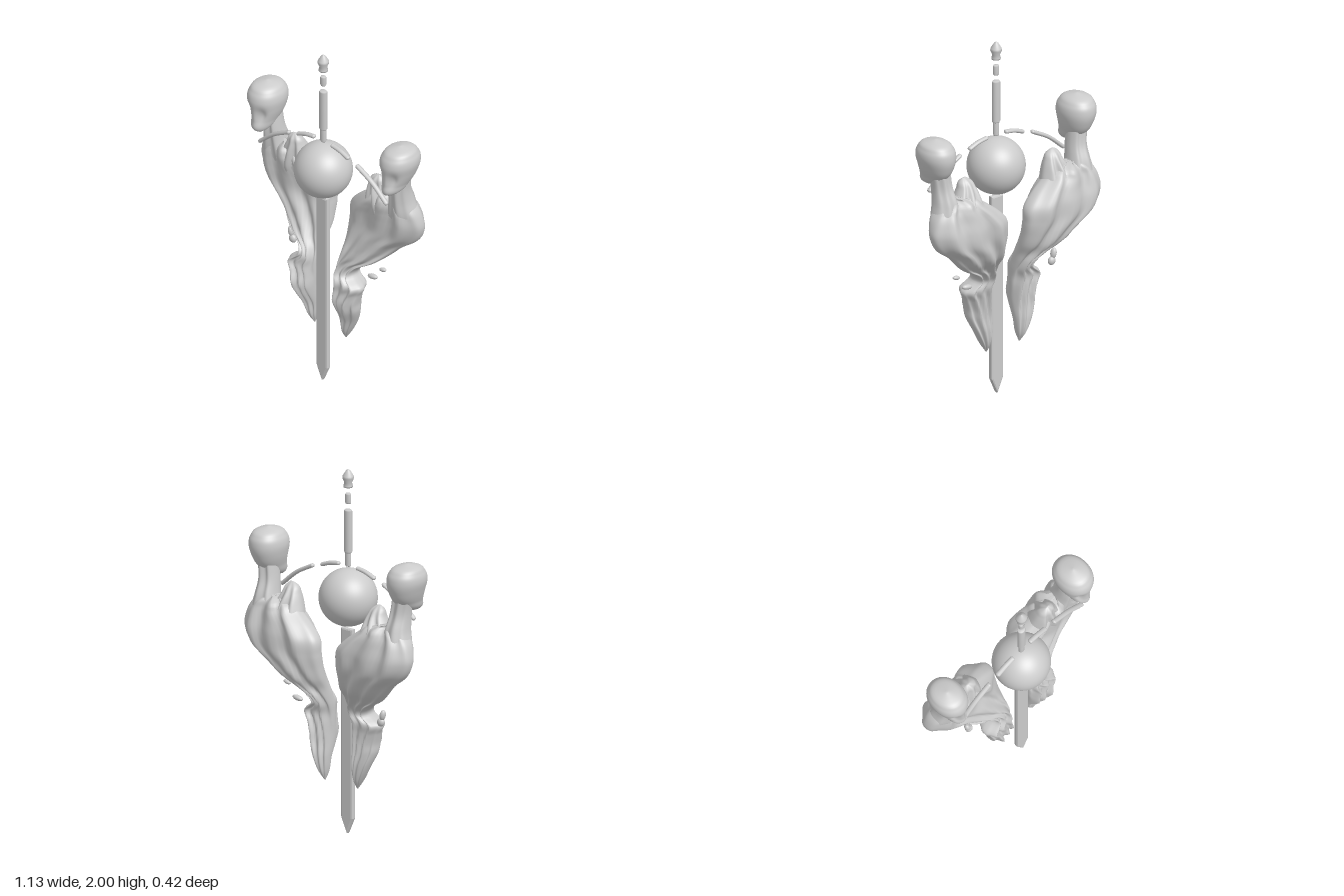
import * as THREE from 'three';

const Z = 0.055; // plane of the blade, orb and arc
const material = new THREE.MeshStandardMaterial({ color: 0xcccccc, side: THREE.DoubleSide });

function mesh(name, geometry, x = 0, y = 0, z = 0) {
  const m = new THREE.Mesh(geometry, material);
  m.name = name;
  m.position.set(x, y, z);
  return m;
}

// Smooth solid through rows of [y, inner x, outer x, front z, back z];
// relief(u, s, y) pushes the surface along z, side mirrors it.
function loft(rows, side, steps, relief = () => 0, power = 0.85) {
  const spline = new THREE.CubicInterpolant(rows.map(r => r[0]), rows.flatMap(r => r.slice(1)), 4);
  const y0 = rows[0][0], y1 = rows[rows.length - 1][0], n = 64;
  const pos = [], index = [];
  const soft = v => Math.sign(v) * Math.abs(v) ** power;
  for (let i = 0; i <= steps; i++) {
    const y = y0 + (y1 - y0) * i / steps;
    const [xi, xo, zf, zb] = spline.evaluate(y);
    for (let j = 0; j < n; j++) {
      const a = j / n * Math.PI * 2, u = Math.cos(a), s = Math.sin(a);
      const x = (xi + xo) / 2 + (xo - xi) / 2 * soft(u);
      const z = (zf + zb) / 2 + (zf - zb) / 2 * soft(s) + relief(u, s, y);
      pos.push(side * x, y, z);
      if (i === steps) continue;
      const p = i * n + j, q = i * n + (j + 1) % n;
      if (side > 0) index.push(p, p + n, q, q, p + n, q + n);
      else index.push(p, q, p + n, q, q + n, p + n);
    }
  }
  // close both ends
  for (const [row, up] of [[0, -1], [steps, 1]]) {
    for (let j = 1; j < n - 1; j++) {
      const b = row * n;
      if (up * side > 0) index.push(b, b + j + 1, b + j);
      else index.push(b, b + j, b + j + 1);
    }
  }
  const g = new THREE.BufferGeometry();
  g.setAttribute('position', new THREE.Float32BufferAttribute(pos, 3));
  g.setIndex(index);
  g.computeVertexNormals();
  return g;
}

const bodyRows = [
  [0.28, 0.108, 0.114, 0.003, -0.003], [0.33, 0.093, 0.145, 0.03, -0.03],
  [0.41, 0.084, 0.185, 0.045, -0.04], [0.49, 0.08, 0.215, 0.08, -0.032],
  [0.54, 0.078, 0.22, 0.095, -0.03], [0.60, 0.075, 0.235, 0.085, -0.03],
  [0.65, 0.073, 0.25, 0.085, -0.035], [0.70, 0.07, 0.185, 0.07, -0.045],
  [0.75, 0.07, 0.21, 0.05, -0.07], [0.80, 0.07, 0.29, 0.035, -0.1],
  [0.86, 0.066, 0.36, 0.015, -0.15], [0.93, 0.066, 0.43, 0, -0.178],
  [1.00, 0.066, 0.52, -0.01, -0.195], [1.08, 0.075, 0.558, -0.005, -0.198],
  [1.14, 0.13, 0.552, 0, -0.185], [1.20, 0.21, 0.525, 0, -0.165],
  [1.24, 0.26, 0.485, -0.02, -0.14], [1.26, 0.33, 0.43, -0.06, -0.1],
];
const neckRows = [
  [1.05, 0.34, 0.50, -0.03, -0.15], [1.15, 0.36, 0.53, -0.01, -0.155],
  [1.25, 0.385, 0.51, 0, -0.135], [1.33, 0.397, 0.505, 0.005, -0.105], [1.44, 0.41, 0.52, 0, -0.095],
];
const shoulderRows = [
  [1.06, 0.16, 0.42, -0.03, -0.16], [1.15, 0.195, 0.41, 0, -0.16],
  [1.22, 0.216, 0.38, 0, -0.135], [1.29, 0.24, 0.343, -0.01, -0.1],
  [1.325, 0.258, 0.33, -0.02, -0.075], [1.342, 0.285, 0.31, -0.04, -0.05],
];
const headRows = [
  [1.33, 0.445, 0.465, 0.06, 0.04], [1.345, 0.425, 0.497, 0.083, -0.02],
  [1.40, 0.402, 0.528, 0.088, -0.1], [1.46, 0.383, 0.552, 0.09, -0.135],
  [1.52, 0.376, 0.566, 0.092, -0.145], [1.56, 0.388, 0.557, 0.076, -0.132],
  [1.59, 0.418, 0.53, 0.04, -0.095], [1.604, 0.465, 0.48, -0.02, -0.035],
];

// Flowing cloth ridges, fading towards the lower tip
const folds = (u, s, y) => s * 0.014 * Math.min(1, (y - 0.28) * 4) *
  (Math.sin(11 * u + 5 * Math.sin(4.5 * y)) + 0.5 * Math.sin(5 * u - 13 * y));
const shoulderFolds = (u, s, y) => s * 0.012 * Math.sin(8 * u + 6 * y) * Math.min(1, (1.342 - y) * 10);
// Two eye hollows below the brow
const sockets = (u, s, y) => s <= 0 ? 0 :
  -0.026 * s * Math.exp(-(((Math.abs(u) - 0.5) / 0.28) ** 2) - ((y - 1.435) / 0.045) ** 2);

function figure(side) {
  const g = new THREE.Group();
  g.name = side > 0 ? 'leftFigure' : 'rightFigure';
  g.add(
    mesh('drapedBody', loft(bodyRows, side, 110, folds)),
    mesh('neck', loft(neckRows, side, 24, (u, s) => 0.006 * s * Math.sin(7 * u))),
    mesh('shoulderPeak', loft(shoulderRows, side, 30, shoulderFolds, 1)),
    mesh('head', loft(headRows, side, 44, sockets, 0.95)),
  );
  return g;
}

// Rounded bar following a short curve
function arcBar(name, points) {
  const g = new THREE.Group();
  g.name = name;
  const v = points.map(([x, y]) => new THREE.Vector3(x, y, 0));
  g.add(mesh('bar', new THREE.TubeGeometry(new THREE.CatmullRomCurve3(v), 20, 0.011, 10)));
  for (const p of [v[0], v[v.length - 1]]) g.add(mesh('barEnd', new THREE.SphereGeometry(0.011, 10, 8), p.x, p.y));
  g.scale.z = 1.3;
  g.position.z = Z;
  return g;
}

export function createModel() {
  const model = new THREE.Group();
  model.name = 'ornament';

  // Orb and blade
  model.add(mesh('orb', new THREE.SphereGeometry(0.155, 48, 32), 0, 1.295, Z));
  const outline = new THREE.Shape([[0, 0.01], [0.03, 0.085], [0.03, 1.115], [-0.03, 1.115], [-0.03, 0.085]]
    .map(p => new THREE.Vector2(...p)));
  model.add(mesh('blade', new THREE.ExtrudeGeometry(outline,
    { depth: 0.01, bevelThickness: 0.01, bevelSize: 0.01, bevelSegments: 2 }), 0, 0, Z - 0.005));

  // Broken staff above the orb
  for (const [r, y0, y1] of [[0.017, 1.465, 1.55], [0.023, 1.54, 1.775], [0.017, 1.81, 1.865]]) {
    const profile = [[0, y0], [r * 0.85, y0], [r, y0 + 0.006], [r, y1 - 0.006], [r * 0.85, y1], [0, y1]];
    const rod = mesh('staffSegment', new THREE.LatheGeometry(profile.map(p => new THREE.Vector2(...p)), 20), 0, 0, Z);
    rod.scale.z = 0.85;
    model.add(rod);
  }
  const tip = [[0, 1.9], [0.024, 1.9], [0.025, 1.908], [0.02, 1.925], [0.031, 1.95], [0.029, 1.962], [0.012, 1.99], [0, 2]];
  model.add(mesh('staffTip', new THREE.LatheGeometry(tip.map(p => new THREE.Vector2(...p)), 24), 0, 0, Z));

  // Mirrored figures and broken arc
  for (const side of [1, -1]) {
    model.add(figure(side));
    model.add(arcBar('outerArc', [[0.447, 1.275], [0.35, 1.357], [0.245, 1.415]].map(([x, y]) => [side * x, y])));
    model.add(arcBar('innerArc', [[0.175, 1.437], [0.12, 1.457], [0.068, 1.466]].map(([x, y]) => [side * x, y])));
  }

  // Loose fragments beside the robes: position, radii, tilt
  for (const [x, y, z, rx, ry, rz, tilt] of [
    [0.268, 0.705, -0.035, 0.033, 0.014, 0.016, 0.15], [0.34, 0.777, -0.035, 0.023, 0.011, 0.013, 0.2],
    [-0.312, 0.735, -0.035, 0.016, 0.03, 0.018, 0.2], [-0.3, 0.695, -0.035, 0.022, 0.024, 0.018, 0.3],
  ]) {
    const f = mesh('fragment', new THREE.SphereGeometry(1, 16, 12), x, y, z);
    f.scale.set(rx, ry, rz);
    f.rotation.z = tilt;
    model.add(f);
  }
  return model;
}
